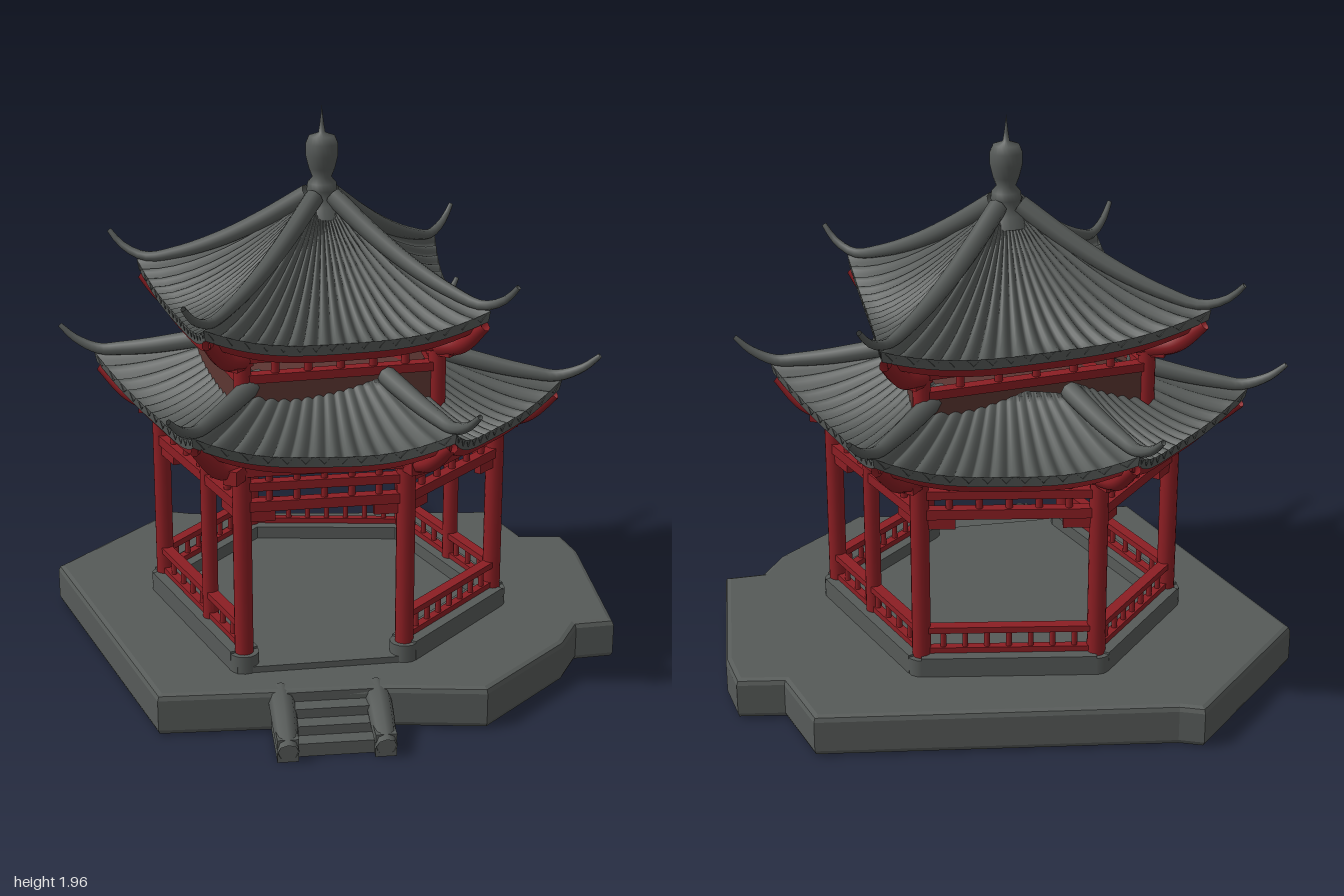
import * as THREE from 'three';
import { ParametricGeometry } from 'three/addons/geometries/ParametricGeometry.js';

const material = (name, color, side = THREE.FrontSide) => {
  const m = new THREE.MeshStandardMaterial({ color, side });
  m.name = name;
  return m;
};

export function createModel() {
  const model = new THREE.Group();
  const stone = material('stone grey', 0x565a58, THREE.DoubleSide);
  const red = material('lacquer red', 0x8c1e23, THREE.DoubleSide);
  const brown = material('ceiling brown', 0x5c3632, THREE.DoubleSide);

  const CX = -0.03, CZ = -0.02;
  const V = (x, y, z) => new THREE.Vector3(x, y, z);
  const lerp = THREE.MathUtils.lerp;
  const mix = (a, b, t) => [lerp(a[0], b[0], t), lerp(a[1], b[1], t)];
  const fromCentre = (p, k) => mix([CX, CZ], p, k);

  function add(name, geometry, mat, parent = model) {
    const mesh = new THREE.Mesh(geometry, mat);
    mesh.name = name;
    parent.add(mesh);
    return mesh;
  }
  function group(name) {
    const g = new THREE.Group();
    g.name = name;
    model.add(g);
    return g;
  }
  // Horizontal bar between two [x, z] points
  function beam(name, a, b, y, h, w, mat, parent) {
    const mesh = add(name, new THREE.BoxGeometry(Math.hypot(b[0] - a[0], b[1] - a[1]), h, w), mat, parent);
    mesh.position.set((a[0] + b[0]) / 2, y, (a[1] + b[1]) / 2);
    mesh.rotation.y = -Math.atan2(b[1] - a[1], b[0] - a[0]);
  }
  function post(name, p, y0, y1, r, mat, parent) {
    add(name, new THREE.CylinderGeometry(r, r, y1 - y0, 14), mat, parent).position.set(p[0], (y0 + y1) / 2, p[1]);
  }
  // Flat slab from an [x, z] outline
  function slab(name, outline, y0, y1, bevel, mat, parent) {
    const shape = new THREE.Shape(outline.map(p => new THREE.Vector2(p[0], p[1])));
    const g = new THREE.ExtrudeGeometry(shape, {
      depth: y1 - y0 - 2 * bevel, bevelEnabled: bevel > 0, bevelSize: bevel, bevelThickness: bevel, bevelOffset: -bevel, bevelSegments: 2
    });
    g.rotateX(Math.PI / 2).translate(0, y1 - bevel, 0);
    add(name, g, mat, parent);
  }
  // Tube whose radius runs from r0 to r1
  function taperedTube(name, points, r0, r1, mat, parent) {
    const path = new THREE.CatmullRomCurve3(points);
    const n = 24, sides = 8;
    const g = new THREE.TubeGeometry(path, n, 1, sides);
    const pos = g.attributes.position, v = V(0, 0, 0);
    for (let i = 0; i < pos.count; i++) {
      const t = Math.floor(i / (sides + 1)) / n, c = path.getPointAt(t);
      v.fromBufferAttribute(pos, i).sub(c).multiplyScalar(lerp(r0, r1, t * t)).add(c);
      pos.setXYZ(i, v.x, v.y, v.z);
    }
    add(name, g, mat, parent);
  }

  // Platform, floor and front steps
  slab('platform', [[-1, -0.4], [-0.55, -0.9], [-0.47, -0.87], [0.73, -0.74], [0.81, -0.48], [0.97, -0.46], [1, -0.3],
    [0.98, 0.32], [0.84, 0.33], [0.76, 0.47], [0.43, 0.78], [0.1, 0.73], [-0.66, 0.7]], 0, 0.148, 0.02, stone);
  const steps = group('frontSteps');
  for (let i = 0; i < 4; i++) {
    const step = add('step', new THREE.BoxGeometry(0.3, 0.145 - i * 0.033, 0.07), stone, steps);
    step.position.set(-0.09, (0.145 - i * 0.033) / 2, 0.69 + i * 0.055);
  }
  for (const x of [-0.25, 0.07]) {
    taperedTube('stepCheek', [V(x, 0.11, 0.66), V(x, 0.1, 0.76), V(x, 0.07, 0.85), V(x, 0.04, 0.93)], 0.045, 0.035, stone, steps);
    const cheek = add('cheekWall', new THREE.BoxGeometry(0.07, 0.08, 0.24), stone, steps);
    cheek.position.set(x, 0.04, 0.8);
  }

  // Columns, listed around the hexagon; bay 0 is the entrance
  const columns = [[-0.36, 0.53], [0.19, 0.51], [0.57, 0.12], [0.34, -0.49], [-0.25, -0.57], [-0.6, -0.15]];
  const bays = columns.map((a, i) => [a, columns[(i + 1) % 6]]);
  slab('floor', columns.map(p => fromCentre(p, 1.08)), 0.14, 0.17, 0, stone);
  const frame = group('frame');
  for (const p of columns) {
    post('columnBase', p, 0.14, 0.21, 0.05, stone, frame);
    post('column', p, 0.2, 0.9, 0.032, red, frame);
  }
  post('sidePost', mix(...bays[2], 0.45), 0.2, 0.8, 0.028, red, frame);
  post('sidePost', mix(...bays[5], 0.6), 0.2, 0.8, 0.028, red, frame);

  bays.forEach(([a, b], i) => {
    // Lintels with short struts and corner braces
    beam('topPlate', a, b, 0.875, 0.05, 0.06, red, frame);
    beam('upperLintel', a, b, 0.81, 0.03, 0.04, red, frame);
    beam('lowerLintel', a, b, 0.74, 0.035, 0.04, red, frame);
    for (let k = 1; k < 6; k++) post('lintelStrut', mix(a, b, k / 6), 0.74, 0.87, 0.012, red, frame);
    beam('brace', mix(a, b, 0.03), mix(a, b, 0.2), 0.705, 0.04, 0.025, red, frame);
    beam('brace', mix(a, b, 0.8), mix(a, b, 0.97), 0.705, 0.04, 0.025, red, frame);
    if (i === 0) return;
    // Kerb and railing
    beam('kerb', a, b, 0.18, 0.075, 0.1, stone, frame);
    beam('handRail', a, b, 0.308, 0.022, 0.04, red, frame);
    beam('footRail', a, b, 0.23, 0.02, 0.03, red, frame);
    for (let k = 1; k < 8; k++) post('baluster', mix(a, b, k / 8), 0.22, 0.31, 0.01, red, frame);
  });
  slab('ceiling', columns, 0.885, 0.9, 0, brown);

  // Ribbed roof with lifted corners, horned ridges, red eaves and soffit
  function roof(name, tips, o) {
    const parent = group(name);
    const corners = tips.map(t => fromCentre(t, 0.87));
    tips.forEach((tip, i) => {
      const a = corners[i], b = corners[(i + 1) % tips.length];
      const wallA = o.wall[i], wallB = o.wall[(i + 1) % tips.length];
      const eave = s => fromCentre(mix(a, b, s), 1 - o.bow * (1 - Math.abs(2 * s - 1) ** 2.5));
      const eaveY = s => o.yMid + (o.yCorner - o.yMid) * Math.abs(2 * s - 1) ** 3;
      const surface = (s, t, out) => {
        const e = eave(s), p = mix(fromCentre(e, o.inner), e, t);
        const rib = 0.024 * Math.sqrt(t) * (Math.abs(Math.cos(Math.PI * s * o.ribs)) - 0.5);
        return out.set(p[0], lerp(o.yTop, eaveY(s), 1 - (1 - t) ** 1.6) + rib, p[1]);
      };
      add('tiles', new ParametricGeometry(surface, o.ribs * 6, 10), stone, parent);
      // Strip below the eave between two (inset, drop) levels
      const strip = (label, k0, d0, k1, d1, mat) => add(label, new ParametricGeometry((s, t, out) => {
        const p = fromCentre(eave(s), lerp(k0, k1, t));
        out.set(p[0], eaveY(s) - lerp(d0, d1, t), p[1]);
      }, 32, 1), mat, parent);
      strip('tileEdge', 1, -0.012, 0.99, 0.025, stone);
      strip('eaveLip', 0.99, 0.025, 0.96, 0.02, red);
      strip('eaveBoard', 0.965, 0.01, 0.95, 0.055, red);
      const soffit = (label, t0, t1, mat) => add(label, new ParametricGeometry((s, t, out) => {
        const k = lerp(t0, t1, t), p = mix(fromCentre(eave(s), 0.95), mix(wallA, wallB, s), k);
        out.set(p[0], lerp(eaveY(s) - 0.055, o.wallY, k), p[1]);
      }, 32, 2), mat, parent);
      soffit('soffitRim', 0, 0.35, red);
      soffit('soffitPanel', 0.35, 1, stone);

      // Ridge sweeping up into a horn
      const ridge = [0, 0.25, 0.5, 0.75, 0.95].map(t => surface(0, t, V(0, 0, 0)).add(V(0, 0.012, 0)));
      const near = fromCentre(tip, 0.94);
      ridge.push(V(near[0], lerp(o.yCorner, o.yTip, 0.5) + 0.005, near[1]), V(tip[0], o.yTip, tip[1]));
      taperedTube('ridge', ridge, 0.034, 0.009, stone, parent);
      // Red hip rafter and bracket block under the corner
      const c = fromCentre(corners[i], 0.97), w = wallA, m = mix(w, c, 0.5);
      taperedTube('hipRafter', [V(w[0], o.wallY - 0.02, w[1]), V(m[0], lerp(o.wallY, o.yCorner, 0.35) - 0.04, m[1]),
        V(c[0], o.yCorner - 0.04, c[1])], 0.035, 0.022, red, parent);
      beam('bracketArm', fromCentre(w, 0.94), fromCentre(w, 1.13), o.wallY - 0.02, 0.05, 0.05, red, parent);
    });
  }

  roof('lowerRoof', [[-0.6, 0.76], [0.37, 0.83], [0.9, 0.26], [0.59, -0.78], [-0.37, -0.92], [-0.95, -0.33]], {
    inner: 0.5, bow: 0.08, ribs: 13, yTop: 1.1, yMid: 0.925, yCorner: 1.02, yTip: 1.125, wall: columns, wallY: 0.885
  });

  // Open red storey between the roofs
  const upperTips = [[-0.54, 0.63], [0.55, 0.51], [0.54, -0.67], [-0.76, -0.42]];
  const neck = upperTips.map(t => fromCentre(t, 0.61));
  const storey = group('upperStorey');
  neck.forEach((a, i) => {
    const b = neck[(i + 1) % 4];
    post('upperPost', a, 0.98, 1.25, 0.03, red, storey);
    beam('lowerWall', a, b, 1.06, 0.12, 0.03, brown, storey);
    beam('sill', a, b, 1.13, 0.03, 0.045, red, storey);
    beam('upperBeam', a, b, 1.21, 0.045, 0.05, red, storey);
    for (let k = 1; k < 6; k++) post('windowPost', mix(a, b, k / 6), 1.1, 1.22, 0.014, red, storey);
  });
  slab('upperCeiling', neck, 1.22, 1.235, 0, brown, storey);

  roof('upperRoof', upperTips, {
    inner: 0.07, bow: 0.05, ribs: 17, yTop: 1.64, yMid: 1.255, yCorner: 1.34, yTip: 1.45, wall: neck, wallY: 1.215
  });

  // Gourd finial and spike
  const profile = [[0.085, 1.58], [0.065, 1.62], [0.045, 1.645], [0.053, 1.67], [0.05, 1.695], [0.033, 1.715], [0.045, 1.745],
    [0.056, 1.79], [0.056, 1.83], [0.045, 1.856], [0.012, 1.868], [0.007, 1.9], [0, 1.96]];
  const finial = add('finial', new THREE.LatheGeometry(profile.map(p => new THREE.Vector2(...p)), 24), stone);
  finial.position.set(CX, 0, CZ);
  return model;
}
